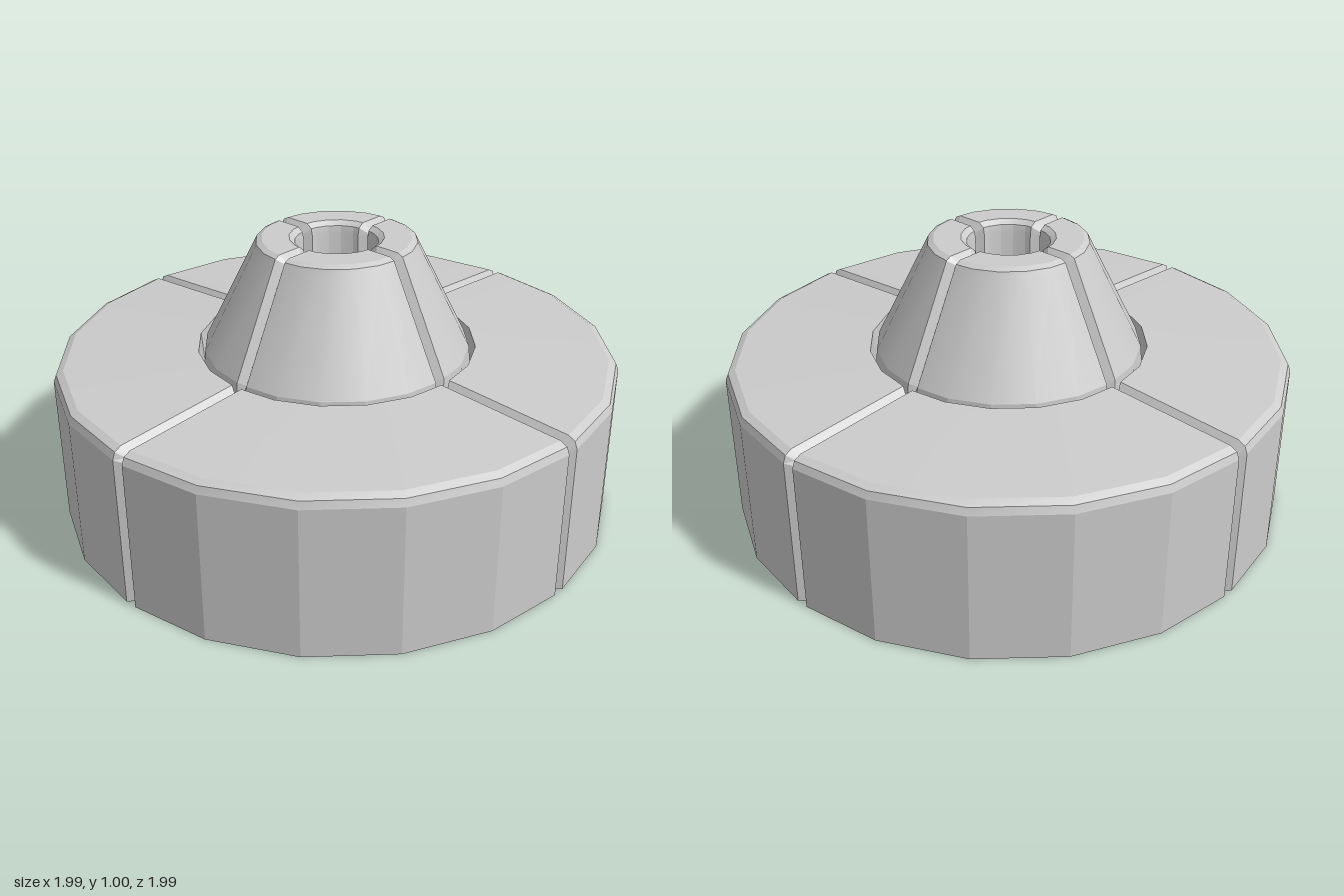
import * as THREE from 'three';
import { toCreasedNormals } from 'three/addons/utils/BufferGeometryUtils.js';

// Half-section of the shell: [radius, height] of the skin, then of the groove floor beneath it
const SECTION = [
  [1.0, 0.0, 0.975, 0.0],
  [1.0, 0.54, 0.975, 0.53],
  [0.99, 0.565, 0.962, 0.543],
  [0.965, 0.578, 0.945, 0.552],
  [0.495, 0.605, 0.5, 0.577],
  [0.485, 0.48, 0.488, 0.455],
  [0.472, 0.605, 0.447, 0.592],
  [0.287, 0.975, 0.262, 0.962],
  [0.28, 0.99, 0.255, 0.972],
  [0.26, 1.0, 0.245, 0.975],
  [0.165, 1.0, 0.18, 0.975],
  [0.145, 0.985, 0.165, 0.965],
  [0.14, 0.96, 0.162, 0.95],
  [0.14, 0.09, 0.162, 0.09],
];
const HALF_GROOVE = 0.022;
const STEP = Math.PI / 10; // 20-sided body

// Points around one height: four quadrants, each starting with a V groove
function ring([r, y, gr, gy]) {
  const points = [];
  const up = new THREE.Vector3(0, 1, 0);
  const edge = r - HALF_GROOVE * Math.tan(STEP / 2);
  for (let q = 0; q < 4; q++) {
    const quadrant = [
      new THREE.Vector3(edge, y, -HALF_GROOVE),
      new THREE.Vector3(gr, gy, 0),
      new THREE.Vector3(edge, y, HALF_GROOVE),
    ];
    for (let k = 1; k < 5; k++) {
      quadrant.push(new THREE.Vector3(r * Math.cos(k * STEP), y, r * Math.sin(k * STEP)));
    }
    points.push(...quadrant.map((p) => p.applyAxisAngle(up, -q * Math.PI / 2)));
  }
  return points;
}

// Skin between consecutive rows of the section
function shell(name, from, to, material) {
  const rings = SECTION.slice(from, to + 1).map(ring);
  const n = rings[0].length;
  const positions = rings.flat().flatMap((p) => p.toArray());
  const index = [];
  for (let i = 0; i < rings.length - 1; i++) {
    for (let j = 0; j < n; j++) {
      const a = i * n + j;
      const b = i * n + (j + 1) % n;
      index.push(a, a + n, b, b, a + n, b + n);
    }
  }
  const geometry = new THREE.BufferGeometry();
  geometry.setAttribute('position', new THREE.Float32BufferAttribute(positions, 3));
  geometry.setIndex(index);
  const mesh = new THREE.Mesh(toCreasedNormals(geometry, 0.3), material);
  mesh.name = name;
  return mesh;
}

export function createModel() {
  const group = new THREE.Group();
  group.name = 'groovedHub';
  const material = new THREE.MeshStandardMaterial({ color: 0xcccccc, side: THREE.DoubleSide });
  group.add(
    shell('drum', 0, 4, material),        // outer wall, rounded rim and sloping deck
    shell('ringGroove', 4, 6, material),  // recess around the foot of the cone
    shell('cone', 6, 10, material),       // tapered boss with its flat top
    shell('boreTube', 10, 13, material),  // central tube reaching down inside
  );
  return group;
}
